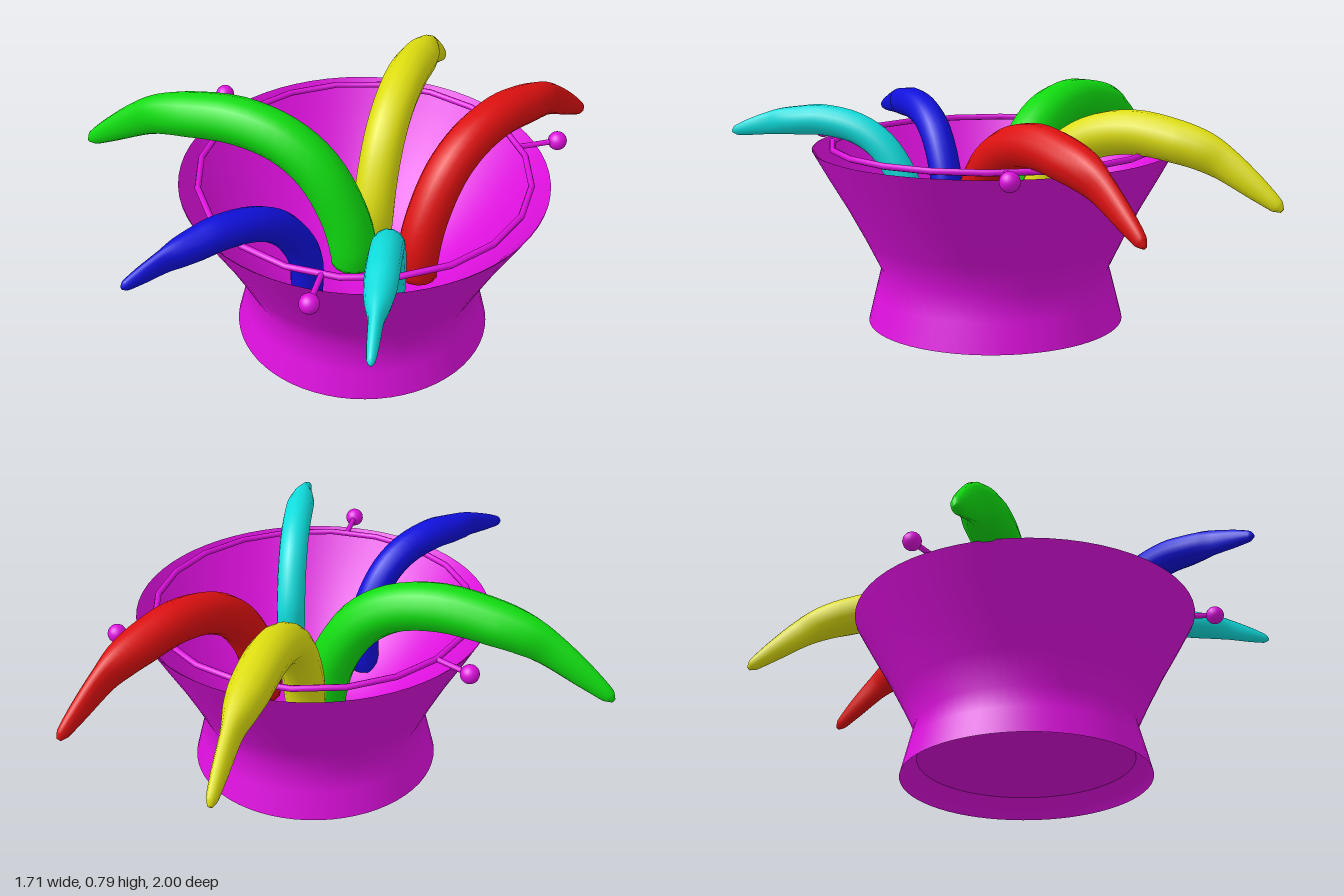
import * as THREE from 'three';

const CX = 0.17, CZ = 0.025; // bowl axis
const mat = (color) => new THREE.MeshStandardMaterial({ color, roughness: 0.7, side: THREE.DoubleSide });
const v2 = (pts) => pts.map(([x, y]) => new THREE.Vector2(x, y));

// Curved arm rising from the bowl, arching over the rim and narrowing to a flattened blunt tip.
// base and tip are [x, z]; peak is the height of the spine's crest, crest its
// fraction along the arm, r the body radius.
function arm(name, color, base, tip, peak, crest, tipY, r) {
  const dir = new THREE.Vector3(tip[0] - base[0], 0, tip[1] - base[1]);
  const L = dir.length();
  dir.normalize();
  const side = new THREE.Vector3(-dir.z, 0, dir.x);
  const drop = peak - tipY;
  // [fraction along, spine height, half width, half height]
  const stations = [
    [0, 0.22, 0.9, 0.9],
    [0, peak - 0.4 * L, 1, 1],
    [0.09 * crest, peak - 0.27 * L, 1, 1],
    [0.31 * crest, peak - 0.12 * L, 1, 1],
    [0.6 * crest, peak - 0.035 * L, 1, 1],
    [crest, peak, 1, 1],
    [0.6, peak - 0.09 * drop, 0.94, 0.95],
    [0.7, peak - 0.2 * drop, 0.74, 0.88],
    [0.78, peak - 0.36 * drop, 0.46, 0.76],
    [0.9, peak - 0.69 * drop, 0.36, 0.54],
    [0.98, peak - 0.93 * drop, 0.25, 0.32],
    [1, tipY, 0.1, 0.1],
  ];
  const spine = new THREE.CatmullRomCurve3(stations.map((s) => new THREE.Vector3(s[0] * L, s[1], 0)));
  const size = new THREE.CatmullRomCurve3(stations.map((s, i) => new THREE.Vector3(s[2] * r, s[3] * r, i * 0.01)));
  const N = 44, M = 14, pos = [], idx = [];
  for (let i = 0; i <= N; i++) {
    const p = spine.getPoint(i / N), s = size.getPoint(i / N), t = spine.getTangent(i / N);
    for (let j = 0; j < M; j++) {
      const a = (j / M) * Math.PI * 2;
      const w = Math.cos(a) * s.x, h = Math.sin(a) * s.y;
      const along = p.x - t.y * h;
      pos.push(
        base[0] + dir.x * along + side.x * w,
        p.y + t.x * h,
        base[1] + dir.z * along + side.z * w,
      );
      if (i < N) {
        const k = (j + 1) % M, A = i * M + j, B = i * M + k;
        idx.push(A, B, A + M, B, B + M, A + M);
      }
    }
  }
  // End caps
  for (let j = 1; j < M - 1; j++) {
    idx.push(0, j + 1, j);
    idx.push(N * M, N * M + j, N * M + j + 1);
  }
  const g = new THREE.BufferGeometry();
  g.setAttribute('position', new THREE.Float32BufferAttribute(pos, 3));
  g.setIndex(idx);
  g.computeVertexNormals();
  const mesh = new THREE.Mesh(g, mat(color));
  mesh.name = name;
  return mesh;
}

export function createModel() {
  const model = new THREE.Group();
  const purple = mat(0xdd10dd);
  const bowl = new THREE.Group();
  bowl.name = 'bowl';
  bowl.position.set(CX, 0, CZ);
  model.add(bowl);
  const add = (name, geometry) => {
    const m = new THREE.Mesh(geometry, purple);
    m.name = name;
    bowl.add(m);
    return m;
  };

  // Waisted outer wall
  add('bowlWall', new THREE.LatheGeometry(
    v2([[0.45, 0], [0.425, 0.1], [0.402, 0.19], [0.455, 0.3], [0.512, 0.41], [0.575, 0.52], [0.63, 0.62]]), 64));

  // Rounded inside of the bowl
  const inside = [];
  for (let i = 0; i <= 14; i++) {
    const t = i / 14;
    inside.push([0.628 * t, 0.13 + 0.49 * t * t]);
  }
  add('bowlInside', new THREE.LatheGeometry(v2(inside), 64));

  // Shallow recess under the foot
  add('footRim', new THREE.LatheGeometry(v2([[0.39, 0.07], [0.43, 0.03], [0.45, 0]]), 64));
  const underside = add('underside', new THREE.CircleGeometry(0.39, 64));
  underside.rotation.x = Math.PI / 2;
  underside.position.y = 0.07;

  // Thin ring inside the rim
  const ring = add('rimRing', new THREE.TorusGeometry(0.565, 0.011, 8, 20));
  ring.rotation.x = Math.PI / 2;
  ring.position.y = 0.63;

  // Three stems with ball ends, evenly spaced around the ring
  for (let i = 0; i < 3; i++) {
    const a = Math.PI + (i * Math.PI * 2) / 3;
    const stem = add('stem', new THREE.CylinderGeometry(0.01, 0.01, 0.15, 10).rotateZ(Math.PI / 2));
    stem.rotation.y = -a;
    stem.position.set(Math.cos(a) * 0.635, 0.63, Math.sin(a) * 0.635);
    const ball = add('ball', new THREE.SphereGeometry(0.033, 20, 14));
    ball.position.set(Math.cos(a) * 0.705, 0.63, Math.sin(a) * 0.705);
  }

  // Five coloured arms
  model.add(
    arm('greenArm', 0x10dd10, [0.125, 0.03], [-0.85, 0.425], 0.71, 0.41, 0.47, 0.086),
    arm('yellowArm', 0xdddd10, [0.1, -0.1], [-0.29, -0.92], 0.705, 0.42, 0.495, 0.075),
    arm('redArm', 0xdd1010, [0.34, -0.08], [0.34, -1], 0.7, 0.43, 0.485, 0.075),
    arm('blueArm', 0x1010dd, [0.185, 0.32], [0.07, 0.99], 0.688, 0.48, 0.635, 0.058),
    arm('cyanArm', 0x10dddd, [0.43, 0.17], [0.845, 0.71], 0.698, 0.48, 0.64, 0.054),
  );
  return model;
}
